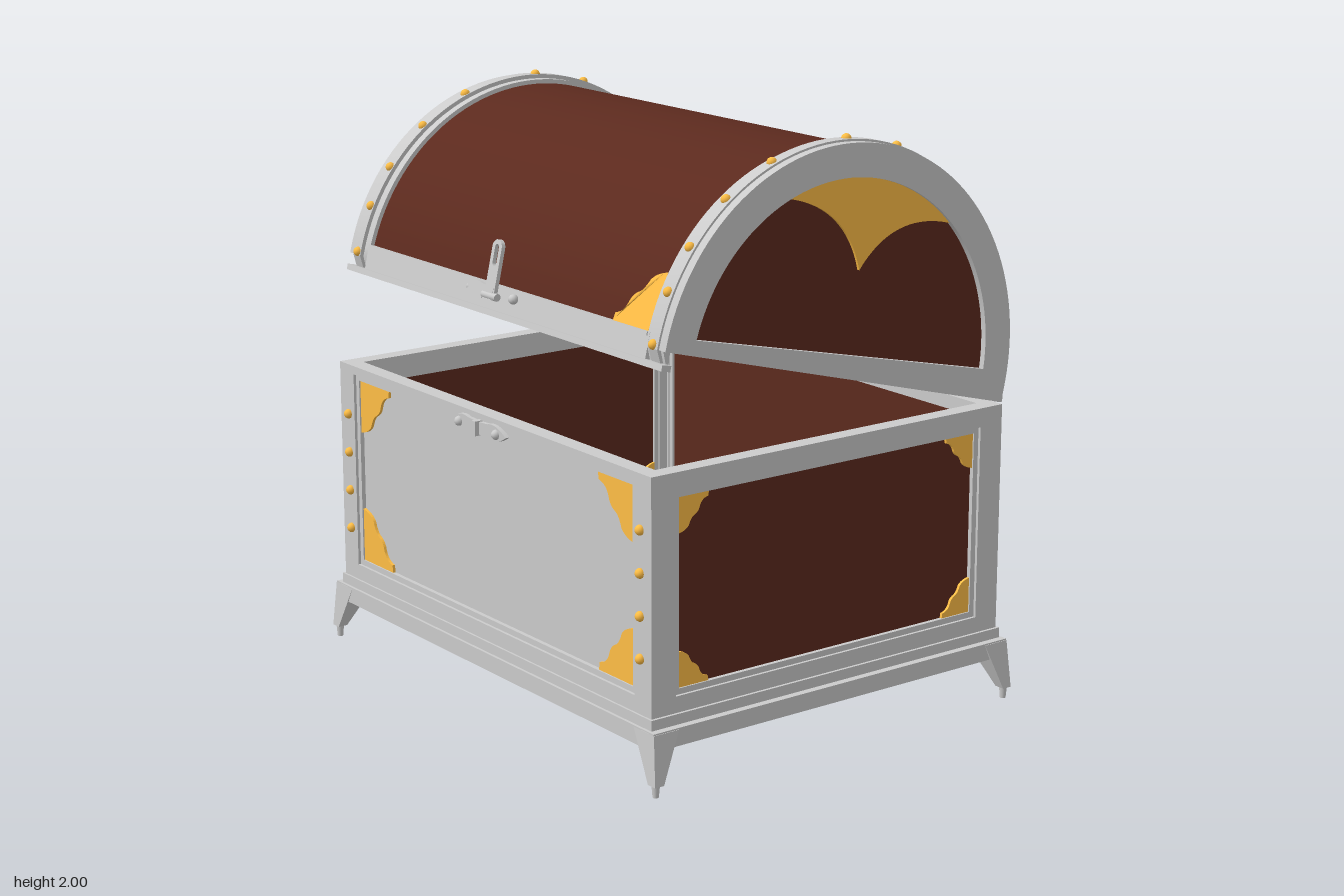
import * as THREE from 'three';
import { toCreasedNormals } from 'three/addons/utils/BufferGeometryUtils.js';

const grey = new THREE.MeshStandardMaterial({ color: 0xcccccc });
const brown = new THREE.MeshStandardMaterial({ color: 0x5c2a1e });
const gold = new THREE.MeshStandardMaterial({ color: 0xffbe46 });

function add(parent, name, geometry, material, x = 0, y = 0, z = 0) {
  const mesh = new THREE.Mesh(geometry, material);
  mesh.name = name;
  mesh.position.set(x, y, z);
  parent.add(mesh);
  return mesh;
}
const box = (w, h, d) => new THREE.BoxGeometry(w, h, d);
const extrude = (shape, depth) =>
  toCreasedNormals(new THREE.ExtrudeGeometry(shape, { depth, bevelEnabled: false, curveSegments: 32 }), 0.5);
// Shape drawn in (z, y), extruded along x and centred on x = 0
const extrudeX = (shape, depth) => extrude(shape, depth).rotateY(-Math.PI / 2).translate(depth / 2, 0, 0);

function rect(path, x0, y0, x1, y1) {
  path.moveTo(x0, y0);
  path.lineTo(x1, y0);
  path.lineTo(x1, y1);
  path.lineTo(x0, y1);
  path.closePath();
  return path;
}
function frameShape(hw, y0, y1, hwIn, y0In, y1In) {
  const shape = rect(new THREE.Shape(), -hw, y0, hw, y1);
  shape.holes.push(rect(new THREE.Path(), -hwIn, y0In, hwIn, y1In));
  return shape;
}
// Wavy corner ornament filling the corner at the origin, reaching s along sx and sy
function cornerShape(s, sx, sy) {
  const shape = new THREE.Shape();
  const p = (x, y) => [x * s * sx, y * s * sy];
  shape.moveTo(0, 0);
  shape.lineTo(...p(1, 0));
  shape.lineTo(...p(0.98, 0.14));
  shape.quadraticCurveTo(...p(0.76, 0.18), ...p(0.7, 0.38));
  shape.quadraticCurveTo(...p(0.66, 0.52), ...p(0.52, 0.58));
  shape.quadraticCurveTo(...p(0.42, 0.63), ...p(0.35, 0.82));
  shape.quadraticCurveTo(...p(0.26, 0.95), ...p(0, 1));
  return shape;
}
const rivet = () => new THREE.SphereGeometry(0.017, 12, 8);

// One wall of the chest: frame, inner lip, panel and corner ornaments
function wall(name, hw, hwIn, top, dist, angle, panelMaterial, cornerSize) {
  const g = new THREE.Group();
  g.name = name;
  g.rotation.y = angle;
  const bottom = 0.32;
  add(g, 'wallFrame', extrude(frameShape(hw, 0.2, 1.03, hwIn + 0.02, bottom - 0.02, top + 0.02), 0.06), grey, 0, 0, dist - 0.06);
  add(g, 'frameLip', extrude(frameShape(hwIn + 0.02, bottom - 0.02, top + 0.02, hwIn, bottom, top), 0.045), grey, 0, 0, dist - 0.055);
  add(g, 'panel', box(hwIn * 2, top - bottom, 0.02), panelMaterial, 0, (top + bottom) / 2, dist - 0.035);
  if (cornerSize) {
    for (const sx of [-1, 1]) for (const sy of [-1, 1]) {
      add(g, 'cornerOrnament', extrude(cornerShape(cornerSize, -sx, -sy), 0.04), gold,
        sx * hwIn, sy > 0 ? top : bottom, dist - 0.055);
    }
  }
  return g;
}

// Splayed foot, wide under the plinth and narrow at the outer corner
function foot(sx, sz) {
  const g = new THREE.Group();
  g.name = 'foot';
  const geo = box(1, 1, 1).toNonIndexed();
  const p = geo.attributes.position;
  for (let i = 0; i < p.count; i++) {
    const high = p.getY(i) > 0;
    const outX = p.getX(i) * sx > 0, outZ = p.getZ(i) * sz > 0;
    p.setXYZ(i, sx * (high ? (outX ? 0.957 : 0.85) : (outX ? 0.975 : 0.937)),
      high ? 0.205 : 0.04,
      sz * (high ? (outZ ? 0.748 : 0.65) : (outZ ? 0.757 : 0.722)));
  }
  geo.computeVertexNormals();
  add(g, 'footLeg', geo, grey);
  add(g, 'footPeg', new THREE.CylinderGeometry(0.014, 0.01, 0.045, 10), grey, sx * 0.955, 0.0225, sz * 0.74);
  return g;
}

// Pointed, waisted half of the latch plate, running along +x
function plateShape(length) {
  const shape = new THREE.Shape();
  const h = 0.03;
  shape.moveTo(0, -h * 0.7);
  shape.lineTo(length * 0.35, -h * 0.8);
  shape.quadraticCurveTo(length * 0.65, -h * 1.3, length, 0);
  shape.quadraticCurveTo(length * 0.65, h * 1.3, length * 0.35, h * 0.8);
  shape.lineTo(0, h * 0.7);
  return shape;
}

const ARC_Y = 0.06; // height of the lid arc centre over the lid's rim
function archBand(outer, inner) {
  const s = new THREE.Shape();
  s.moveTo(outer, 0);
  s.absarc(0, ARC_Y, outer, 0, Math.PI, false);
  s.lineTo(-outer, 0);
  s.lineTo(-inner, 0);
  s.absarc(0, ARC_Y, inner, Math.PI, 0, true);
  s.lineTo(inner, 0);
  return s;
}
function archWindow(path) {
  path.absarc(0, ARC_Y, 0.615, 0.073, Math.PI - 0.073, false);
  path.closePath();
  return path;
}

function buildLid() {
  const lid = new THREE.Group();
  lid.name = 'lid';
  add(lid, 'lidShell', extrudeX(archBand(0.703, 0.685), 1.78), brown);

  // Ends: arched frame, panel, gold crest, and the strap with its rivets
  const endFrame = new THREE.Shape();
  endFrame.moveTo(0.725, 0);
  endFrame.absarc(0, ARC_Y, 0.725, 0, Math.PI, false);
  endFrame.lineTo(-0.725, 0);
  endFrame.holes.push(archWindow(new THREE.Path()));
  const crest = new THREE.Shape();
  const a = Math.atan2(0.51, 0.355);
  crest.absarc(0, ARC_Y, 0.617, a, Math.PI - a, false);
  crest.quadraticCurveTo(-0.1, 0.58, 0, 0.378);
  crest.quadraticCurveTo(0.1, 0.58, 0.356, 0.57);
  const rivetAngles = [1, 14, 26, 41, 57, 81, 98, 122, 140, 154, 168];
  for (const s of [-1, 1]) {
    add(lid, 'lidEndFrame', extrudeX(endFrame, 0.04), grey, s * 0.9);
    add(lid, 'lidEndPanel', extrudeX(archWindow(new THREE.Shape()), 0.015), brown, s * 0.892);
    add(lid, 'lidCrest', extrudeX(crest, 0.03), gold, s * 0.894);
    add(lid, 'lidBand', extrudeX(archBand(0.718, 0.69), 0.09), grey, s * 0.855);
    add(lid, 'lidStrap', extrudeX(archBand(0.732, 0.7), 0.045), grey, s * 0.865);
    for (const deg of rivetAngles) {
      const t = THREE.MathUtils.degToRad(deg);
      add(lid, 'lidRivet', rivet(), gold, s * 0.862, ARC_Y + 0.73 * Math.sin(t), 0.73 * Math.cos(t));
    }
    // Front and back rails
    add(lid, 'lidRail', box(1.64, 0.105, 0.03), grey, 0, 0.0525, s * 0.703);
    add(lid, 'lidRimStrip', box(1.84, 0.02, 0.035), grey, 0, 0.01, s * 0.71);
    add(lid, 'lidRailBead', box(1.62, 0.012, 0.02), grey, 0, 0.098, s * 0.712);
  }

  // Gold corner bent to the curve of the lid
  const corner = extrude(cornerShape(0.185, -1, 1), 0.02);
  const p = corner.attributes.position;
  for (let i = 0; i < p.count; i++) {
    const r = 0.695 + p.getZ(i), y = p.getY(i) + 0.105;
    p.setXYZ(i, p.getX(i) + 0.805, y, Math.sqrt(r * r - (y - ARC_Y) ** 2));
  }
  corner.computeVertexNormals();
  add(lid, 'lidCorner', corner, gold);

  // Hasp with its slot, mounting plate and studs
  const hasp = new THREE.Shape();
  hasp.moveTo(-0.027, 0);
  hasp.lineTo(0.027, 0);
  hasp.absarc(0, 0.165, 0.027, 0, Math.PI, false);
  const slot = new THREE.Path();
  slot.absarc(0, 0.115, 0.011, Math.PI, Math.PI * 2, false);
  slot.absarc(0, 0.165, 0.011, 0, Math.PI, false);
  slot.closePath();
  hasp.holes.push(slot);
  add(lid, 'hasp', extrude(hasp, 0.014), grey, -0.02, 0.06, 0.728);
  add(lid, 'haspPlate', extrude(plateShape(0.19), 0.015), grey, 0, 0.075, 0.728).rotation.z = Math.PI;
  add(lid, 'haspHinge', new THREE.CylinderGeometry(0.013, 0.013, 0.08, 12).rotateZ(Math.PI / 2), grey, -0.02, 0.065, 0.735);
  for (const x of [-0.15, 0.1]) add(lid, 'haspStud', rivet(), grey, x, 0.075, 0.728);
  return lid;
}

export function createModel() {
  const model = new THREE.Group();
  const chest = new THREE.Group();
  chest.name = 'chest';
  chest.position.z = 0.01;
  model.add(chest);

  // Plinth, moulding and feet
  add(chest, 'plinth', box(1.91, 0.06, 1.495), grey, 0, 0.18, 0);
  add(chest, 'moulding', box(1.86, 0.035, 1.475), grey, 0, 0.2275, 0);
  for (const sx of [-1, 1]) for (const sz of [-1, 1]) chest.add(foot(sx, sz));

  // Walls
  chest.add(wall('frontWall', 0.92, 0.81, 0.98, 0.73, 0, grey, 0.19));
  chest.add(wall('backWall', 0.92, 0.83, 0.98, 0.73, Math.PI, brown, 0));
  for (const s of [-1, 1]) {
    chest.add(wall(s > 0 ? 'leftWall' : 'rightWall', 0.67, 0.615, 0.945, 0.92, s * Math.PI / 2, brown, 0.12));
    for (const y of [0.43, 0.57, 0.71, 0.85]) add(chest, 'frontRivet', rivet(), gold, s * 0.865, y, 0.733);
  }

  // Latch plate on the front rim
  const latch = new THREE.Group();
  latch.name = 'latch';
  latch.position.set(-0.02, 0.985, 0.728);
  chest.add(latch);
  for (const s of [-1, 1]) {
    add(latch, 'latchPlate', extrude(plateShape(0.165), 0.016), grey, 0, 0, 0).rotation.z = s > 0 ? 0 : Math.PI;
    add(latch, 'latchStud', rivet(), grey, s * 0.11, 0, 0.016);
  }
  add(latch, 'latchStaple', box(0.02, 0.05, 0.035), grey, 0, 0, 0.015);

  // Lid swung open about the back edge
  const hinge = new THREE.Group();
  hinge.name = 'lidHinge';
  hinge.position.set(0, 1.037, -0.727);
  hinge.rotation.x = -0.222;
  const lid = buildLid();
  lid.position.z = 0.727;
  hinge.add(lid);
  chest.add(hinge);
  return model;
}
